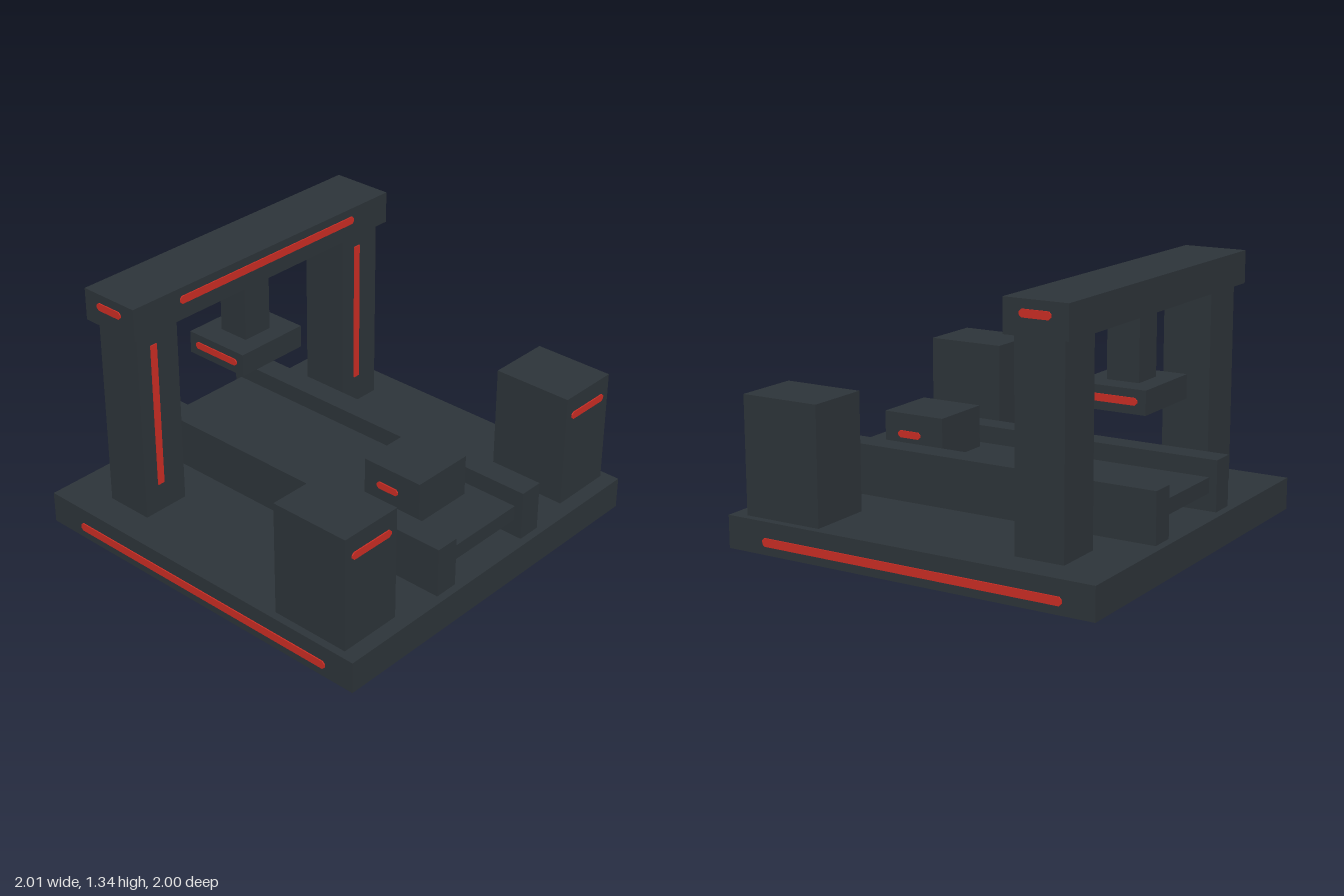
import * as THREE from 'three';

export function createModel() {
  const model = new THREE.Group();
  model.name = 'gantryMachine';
  const steel = new THREE.MeshStandardMaterial({ name: 'dark steel', color: 0x2d3439 });
  const red = new THREE.MeshStandardMaterial({ name: 'signal red', color: 0xcc2d24 });

  // Box given by its x, y and z ranges
  function block(name, [x0, x1], [y0, y1], [z0, z1]) {
    const mesh = new THREE.Mesh(new THREE.BoxGeometry(x1 - x0, y1 - y0, z1 - z0), steel);
    mesh.name = name;
    mesh.position.set((x0 + x1) / 2, (y0 + y1) / 2, (z0 + z1) / 2);
    model.add(mesh);
  }

  // Thin light strip with softened ends, facing +z before turning
  function strip(name, w, h, x, y, z, turn = 0) {
    const a = w / 2, b = h / 2, c = w > h ? 0.012 : 0;
    const shape = new THREE.Shape([
      [-a + c, -b], [a - c, -b], [a, -b + c], [a, b - c],
      [a - c, b], [-a + c, b], [-a, b - c], [-a, -b + c],
    ].map(([px, py]) => new THREE.Vector2(px, py)));
    const geometry = new THREE.ExtrudeGeometry(shape, { depth: 0.006, bevelEnabled: false });
    const mesh = new THREE.Mesh(geometry, red);
    mesh.name = name;
    mesh.position.set(x, y, z);
    mesh.rotation.y = turn;
    model.add(mesh);
  }

  // Base, sliding bed and workpiece
  block('base', [-1, 1], [0, 0.165], [-1, 1]);
  block('bed', [-0.25, 0.25], [0.255, 0.333], [-0.92, 0.915]);
  block('workpiece', [-0.17, 0.17], [0.333, 0.547], [0.33, 0.67]);

  // Gantry beam and press head
  block('beam', [-0.875, 0.875], [1.17, 1.335], [-0.79, -0.46]);
  block('headStem', [-0.085, 0.085], [0.83, 1.17], [-0.71, -0.54]);
  block('pressHead', [-0.207, 0.207], [0.714, 0.832], [-0.81, -0.44]);
  strip('beamFrontStrip', 1.205, 0.04, 0.018, 1.272, -0.46);

  for (const s of [-1, 1]) {
    const side = s > 0 ? 'left' : 'right';
    const span = (a, b) => (s > 0 ? [a, b] : [-b, -a]);

    // Paired rails, columns and control boxes
    block(side + 'Rail', span(0.248, 0.376), [0.165, 0.422], [-0.96, 0.96]);
    block(side + 'Column', span(0.58, 0.835), [0.165, 1.17], [-0.75, -0.495]);
    block(side + 'ControlBox', span(0.622, 0.96), [0.165, 0.757], [0.495, 0.918]);
    strip(side + 'ColumnStrip', 0.038, 0.77, s * 0.71 - 0.024, 0.703, -0.495);
    strip(side + 'ControlStrip', 0.255, 0.038, s * 0.79, 0.65, 0.918);

    // Strips on the side faces
    const turn = s * Math.PI / 2;
    strip(side + 'BaseStrip', 1.63, 0.042, s, 0.064, s * -0.02, turn);
    strip(side + 'BeamStrip', 0.16, 0.038, s * 0.875, 1.272, -0.625, turn);
    strip(side + 'HeadStrip', 0.285, 0.036, s * 0.207, 0.774, -0.624, turn);
    strip(side + 'WorkpieceStrip', 0.13, 0.036, s * 0.17, 0.441, 0.5 + s * 0.025, turn);
  }
  return model;
}
